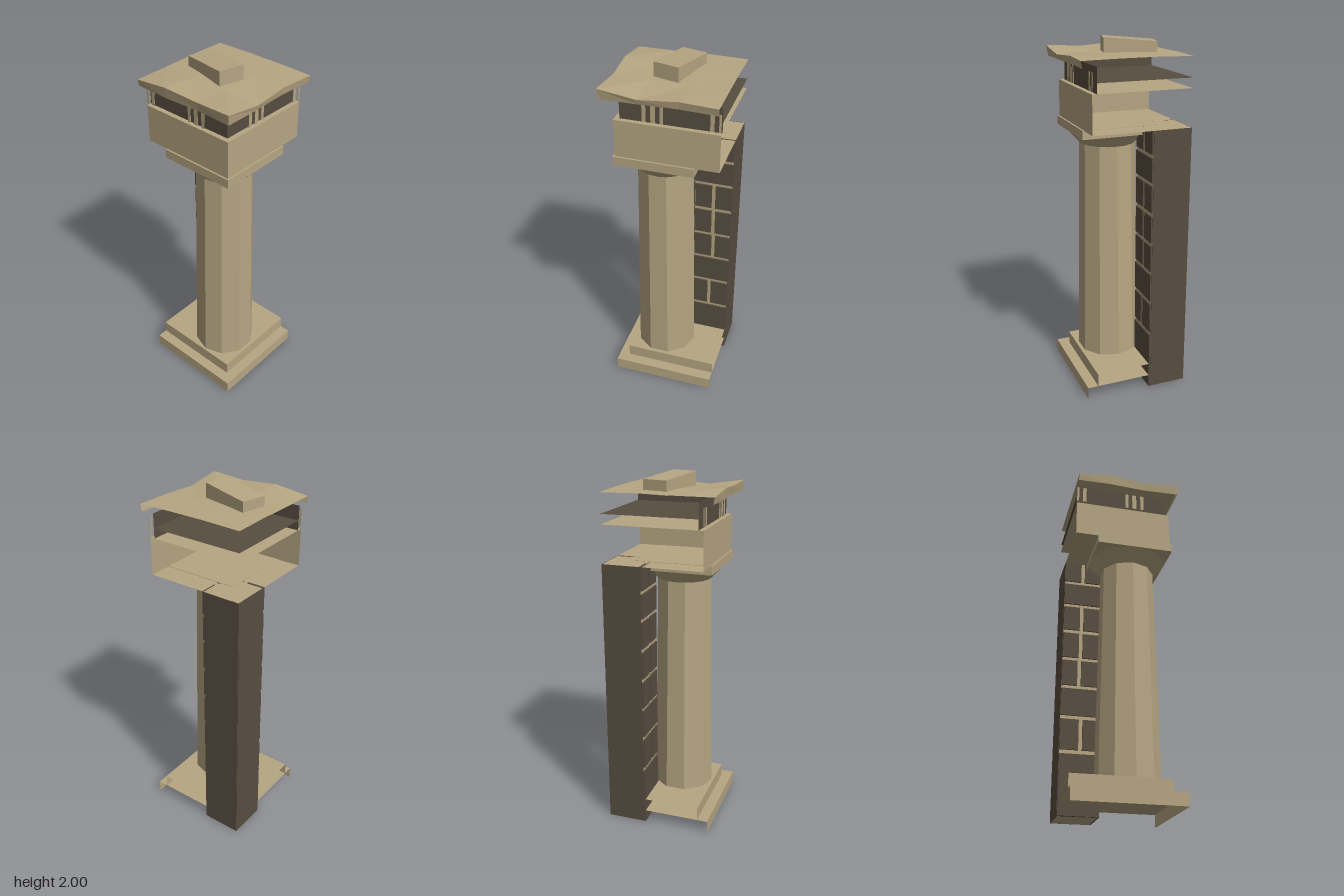
import * as THREE from 'three';

const BACK = -0.31; // both open back sides lie on this plane
const AXIS = 0.04;  // column axis in x and z

export function createModel() {
  const group = new THREE.Group();
  const stone = new THREE.MeshStandardMaterial({ color: 0xb6a682, side: THREE.DoubleSide });
  stone.name = 'sandstone';
  const dark = new THREE.MeshStandardMaterial({ color: 0x584e41, side: THREE.DoubleSide });
  dark.name = 'darkStone';

  function add(name, geometry, material, x = 0, y = 0, z = 0, parent = group) {
    const mesh = new THREE.Mesh(geometry, material);
    mesh.name = name;
    mesh.position.set(x, y, z);
    parent.add(mesh);
    return mesh;
  }

  // Flat-shaded surface through rows of points
  function surface(name, rows, material, parent) {
    const p = [];
    for (let i = 0; i + 1 < rows.length; i++) {
      for (let j = 0; j + 1 < rows[i].length; j++) {
        const a = rows[i][j], b = rows[i + 1][j], c = rows[i + 1][j + 1], d = rows[i][j + 1];
        p.push(...a, ...b, ...c, ...a, ...c, ...d);
      }
    }
    const g = new THREE.BufferGeometry();
    g.setAttribute('position', new THREE.Float32BufferAttribute(p, 3));
    g.computeVertexNormals();
    return add(name, g, material, 0, 0, 0, parent);
  }

  // Top sheet with a front and a side skirt; the two back sides stay open
  function skirted(name, rows, bottomY, inset, material) {
    const part = new THREE.Group();
    part.name = name;
    group.add(part);
    surface(name + 'Top', rows, material, part);
    const front = rows[rows.length - 1];
    surface(name + 'Front', [front, front.map(([x, , z]) => [Math.min(x, 0.305 - inset), bottomY, z - inset])], material, part);
    const side = rows.map(r => r[r.length - 1]).reverse();
    surface(name + 'Side', [side, side.map(([x, , z]) => [x - inset, bottomY, Math.min(z, 0.305 - inset)])], material, part);
    return part;
  }

  const sheet = (y, e) => [[[BACK, y, BACK], [e, y, BACK]], [[BACK, y, e], [e, y, e]]];

  // Stepped base
  skirted('lowerStep', sheet(0.073, 0.293), 0, 0, stone);
  skirted('upperStep', sheet(0.148, 0.232), 0.073, 0, stone);

  // Faceted column, flared capital and abacus
  const shaft = new THREE.CylinderGeometry(0.157, 0.18, 1.275, 10, 1, true).toNonIndexed();
  shaft.computeVertexNormals();
  add('columnShaft', shaft, stone, AXIS, 0.7855, AXIS);
  add('capitalFlare', new THREE.CylinderGeometry(0.22, 0.155, 0.07, 20, 1, true), stone, AXIS, 1.457, AXIS);
  add('abacus', new THREE.BoxGeometry(0.44, 0.05, 0.44), stone, AXIS, 1.517, AXIS);

  // Corner pier with dark outer back faces
  const width = 0.218, height = 1.54, mid = BACK + width / 2;
  add('pierCore', new THREE.BoxGeometry(width, height, width), stone, mid, height / 2, mid);
  add('pierBack', new THREE.BoxGeometry(width, height, 0.004), dark, mid, height / 2, BACK);
  add('pierSide', new THREE.BoxGeometry(0.004, height, width), dark, BACK, height / 2, mid);

  // Courses: bottom, top, and the joint position (0 = single block)
  const courses = [
    [0, 0.335, 0], [0.358, 0.533, -0.195], [0.555, 0.715, 0], [0.735, 0.888, -0.21],
    [0.908, 1.062, -0.205], [1.085, 1.235, -0.203], [1.255, 1.39, 0], [1.41, 1.54, -0.2],
  ];
  const inner = BACK + width;
  for (const [y0, y1, joint] of courses) {
    const spans = joint ? [[BACK, joint - 0.011], [joint + 0.011, inner - 0.004]] : [[BACK, inner]];
    for (const [a, b] of spans) {
      const y = (y0 + y1) / 2, m = (a + b) / 2;
      add('frontBrick', new THREE.BoxGeometry(b - a, y1 - y0, 0.018), dark, m, y, inner);
      add('sideBrick', new THREE.BoxGeometry(0.018, y1 - y0, b - a), dark, inner, y, m);
    }
  }

  // Upper block, closed below
  skirted('upperBlock', sheet(1.75, 0.25), 1.54, 0, stone);
  surface('upperBlockFloor', sheet(1.54, 0.25).reverse(), stone);

  // Recessed dark band with an inner ceiling
  const e = 0.223;
  surface('bandFront', [[[BACK, 1.885, e], [e, 1.885, e]], [[BACK, 1.75, e], [e, 1.75, e]]], dark);
  surface('bandSide', [[[e, 1.885, e], [e, 1.885, BACK]], [[e, 1.75, e], [e, 1.75, BACK]]], dark);
  surface('bandCeiling', sheet(1.805, e), dark);

  // Slim posts in front of the band
  for (const [a, b] of [[-0.31, -0.298], [-0.275, -0.254], [-0.016, 0.002], [0.025, 0.05], [0.075, 0.095]]) {
    add('frontPost', new THREE.BoxGeometry(b - a, 0.096, 0.002), stone, (a + b) / 2, 1.812, 0.248);
    add('sidePost', new THREE.BoxGeometry(0.002, 0.096, b - a), stone, 0.248, 1.812, (a + b) / 2);
  }

  // Worn, uneven roof slab
  skirted('roof', [
    [[-0.31, 1.915, -0.31], [-0.1, 1.92, -0.31], [0.1, 1.92, -0.31], [0.307, 1.917, -0.31]],
    [[-0.31, 1.918, -0.11], [-0.1, 1.922, -0.11], [0.1, 1.92, -0.11], [0.295, 1.92, -0.11]],
    [[-0.31, 1.915, 0.1], [-0.1, 1.925, 0.1], [0.1, 1.92, 0.1], [0.303, 1.905, 0.1]],
    [[-0.31, 1.915, 0.303], [-0.11, 1.938, 0.308], [0.095, 1.925, 0.296], [0.303, 1.935, 0.306]],
  ], 1.878, 0.008, stone);

  // Turned block on the roof, its top sloping down to one end
  const block = new THREE.BoxGeometry(0.289, 0.1, 0.144);
  const pos = block.attributes.position;
  for (let i = 0; i < pos.count; i++) {
    if (pos.getY(i) > 0 && pos.getX(i) < 0) pos.setY(i, 0.026);
  }
  block.computeVertexNormals();
  add('roofBlock', block, stone, -0.0675, 1.95, -0.01).rotation.y = -Math.atan2(0.07, 0.28);

  return group;
}
